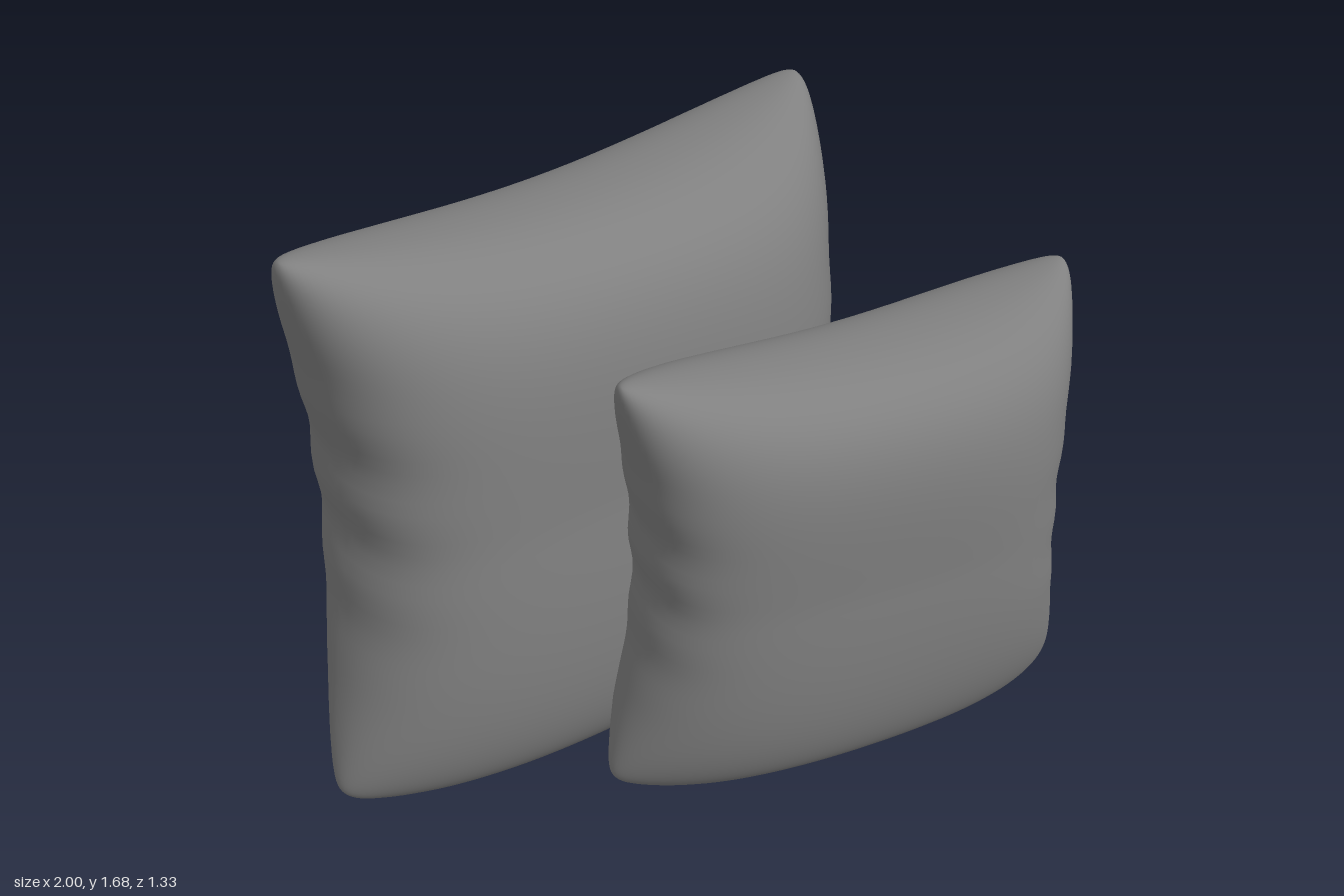
import * as THREE from 'three';
import { mergeGeometries, mergeVertices } from 'three/addons/utils/BufferGeometryUtils.js';

const fabric = new THREE.MeshStandardMaterial({ color: 0x808080 });
fabric.name = 'greyFabric';

// Seam corners of the cushion
const TL = new THREE.Vector3(-0.857, 1.668, -0.04);
const TR = new THREE.Vector3(0.79, 1.702, -0.09);
const BR = new THREE.Vector3(0.887, 0.045, 0.01);
const BL = new THREE.Vector3(-0.887, 0.045, 0.02);
const HALF_THICKNESS = 0.36;

// Point on the cushion: u, v run from -1 to 1, side is +1 front or -1 back
function cushionPoint(u, v, side) {
  // Round off the four corners
  const round = (1 + Math.abs(u * v) ** 36) ** (1 / 36);
  const a = u / round;
  const b = v / round;
  const bottom = BL.clone().lerp(BR, (a + 1) / 2);
  const top = TL.clone().lerp(TR, (a + 1) / 2);
  const p = bottom.lerp(top, (b + 1) / 2);

  // Edges pulled in between the corners
  const up = Math.max(v, 0) ** 3;
  const down = Math.max(-v, 0) ** 3;
  p.x -= 0.12 * u ** 3 * (1 - v * v) ** 1.5;
  p.y -= 0.093 * (1 - u * u) * (1 + 0.2 * u) * up + 0.04 * (1 - u ** 4) * down;

  // Seam bows forward along top and bottom, and twists at the sides
  p.z += (1 - u * u) * (0.11 * ((1 - v) / 2) ** 5 + 0.04 * Math.max(v, 0));
  p.z += 0.035 * u * (1 - v * v);

  // Soft creases gathered along the side seams
  const crease = Math.sin(v * 19 + u) * Math.abs(u) ** 7 * Math.exp(-(((v - 0.1) / 0.4) ** 2));
  p.x += 0.009 * crease * Math.sign(u);

  // Stuffing: full in the middle, with the front leaning fuller to one side
  // and the back fuller towards the bottom
  const topPower = side > 0 ? 3.5 : 4;
  const bottomPower = side > 0 ? 2.5 : 3.3;
  const puffU = Math.max(0, 1 - Math.abs(u) ** 3.7) ** 0.46;
  const puffV = Math.max(0, 1 - Math.abs(v) ** (v > 0 ? topPower : bottomPower)) ** 0.46;
  const lean = side > 0 ? 0.01 + 0.03 * u : 0;
  p.z += side * (HALF_THICKNESS + lean) * puffU * puffV * (1 + 0.03 * crease);
  return p;
}

// One half of the cover, with rows crowded towards the seam
function coverHalf(side) {
  const g = new THREE.PlaneGeometry(2, 2, 60, 60);
  const pos = g.attributes.position;
  for (let i = 0; i < pos.count; i++) {
    const u = Math.sin((pos.getX(i) * Math.PI) / 2);
    const v = Math.sin((pos.getY(i) * Math.PI) / 2);
    const p = cushionPoint(u, v, side);
    pos.setXYZ(i, p.x, p.y, p.z);
  }
  if (side < 0) g.setIndex(Array.from(g.index.array).reverse());
  g.deleteAttribute('uv');
  g.deleteAttribute('normal');
  return g;
}

function cushionGeometry() {
  const g = mergeVertices(mergeGeometries([coverHalf(1), coverHalf(-1)]), 1e-4);
  g.computeVertexNormals();
  return g;
}

export function createModel() {
  const model = new THREE.Group();
  model.name = 'cushions';
  const geometry = cushionGeometry();

  const large = new THREE.Mesh(geometry, fabric);
  large.name = 'largeCushion';
  large.position.set(-0.125, 0, -0.27);
  model.add(large);

  // Smaller copy in front, turned and tipped slightly forward
  const small = new THREE.Mesh(geometry, fabric);
  small.name = 'smallCushion';
  small.scale.setScalar(0.8);
  small.rotation.set(0.08, -0.207, 0, 'YXZ');
  small.position.set(0.312, 0.008, 0.266);
  model.add(small);

  return model;
}
